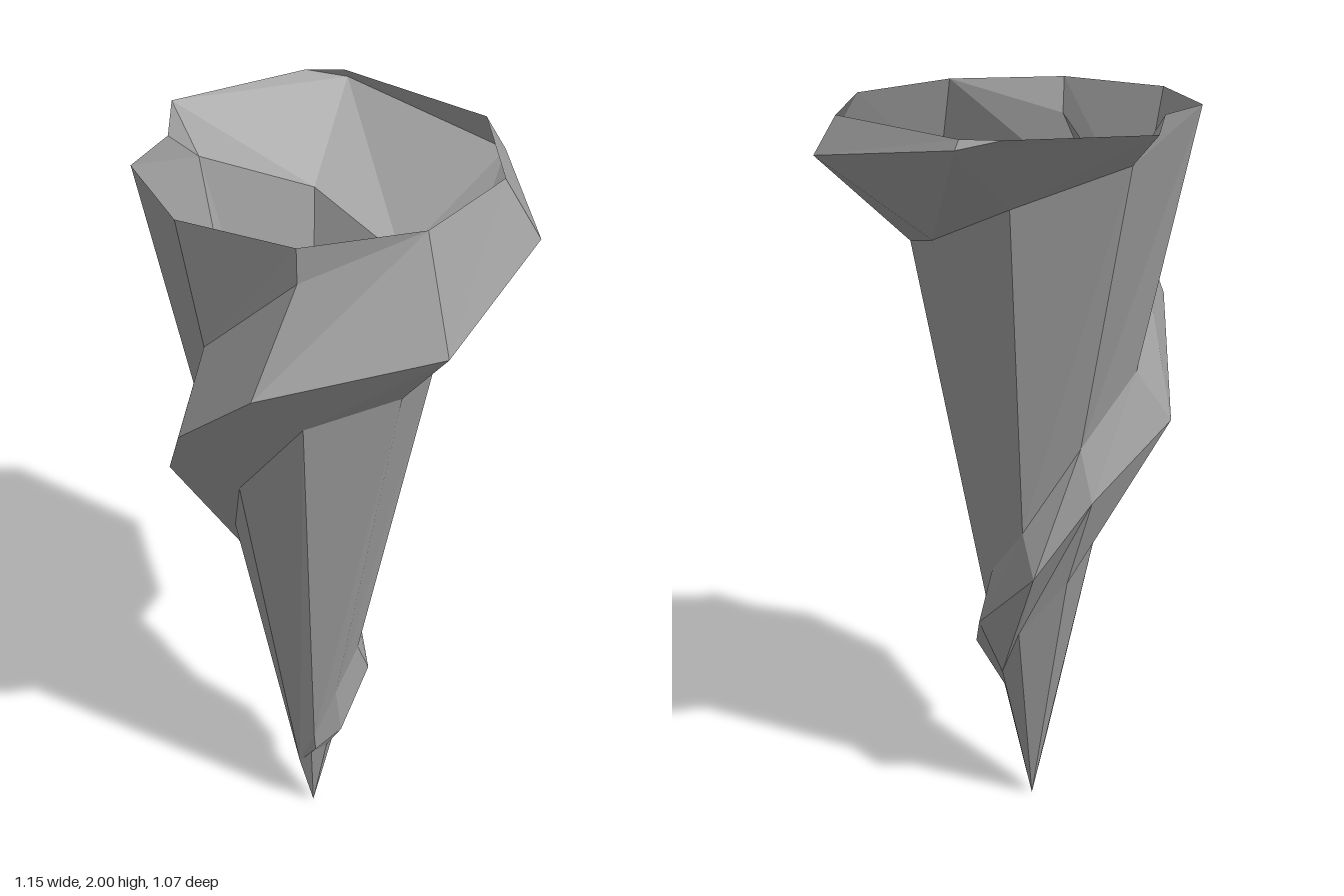
import * as THREE from 'three';

// Spiral stations, eight per turn, climbing from the tip.
// lower = crease under the ridge, ridge = outer edge, upper = crease above it
const lower = [
  [0.02, 0.17, 0.14], [0.06, 0.22, 0.13], [0.08, 0.24, 0.09], [0.075, 0.34, 0.03],
  [0.02, 0.40, -0.01], [-0.065, 0.54, -0.01], [-0.16, 0.70, 0.085], [-0.13, 0.95, 0.235],
  [0.02, 1.18, 0.335], [0.25, 1.45, 0.31], [0.37, 1.51, 0.09], [0.28, 1.60, -0.14],
  [0.01, 1.66, -0.23], [-0.27, 1.78, -0.17], [-0.43, 1.89, 0.09], [-0.30, 2, 0.40],
  [0.015, 2, 0.505], [0.32, 2, 0.385], [0.45, 2, 0.09],
];
const ridge = [
  [0.02, 0.17, 0.14], [0.085, 0.25, 0.135], [0.12, 0.31, 0.07], [0.11, 0.47, -0.04],
  [0.03, 0.56, -0.08], [-0.2, 0.75, -0.05], [-0.255, 0.955, 0.1], [-0.235, 1.14, 0.37],
  [0.035, 1.42, 0.535], [0.29, 1.62, 0.505], [0.575, 1.72, 0.13], [0.415, 1.83, -0.33],
  [0.075, 1.90, -0.535], [-0.43, 1.975, -0.425], [-0.58, 1.99, 0.06], [-0.385, 2, 0.22],
];
const upper = [
  [0.02, 0.17, 0.14], [0.085, 0.30, 0.14], [0.12, 0.45, 0.09], [0.11, 0.56, 0],
  [0, 0.72, -0.055], [-0.13, 0.86, -0.04], [-0.22, 1.10, 0.085], [-0.19, 1.28, 0.285],
  [0.015, 1.63, 0.43], [0.31, 1.90, 0.375], [0.45, 2, 0.09], [0.36, 2, -0.25],
  [0.055, 2, -0.48], [-0.425, 2, -0.41], [-0.495, 2, -0.33],
];
const tip = [0.02, 0, 0.09];

// Faceted band between two rows of points, first row below the second
function band(a, b) {
  const tris = [];
  for (let i = 0; i < a.length - 1; i++) {
    tris.push([a[i], a[i + 1], b[i + 1]], [a[i], b[i + 1], b[i]]);
  }
  return tris;
}

export function createModel() {
  const group = new THREE.Group();
  const stone = new THREE.MeshStandardMaterial({
    color: 0xa0a0a0, side: THREE.DoubleSide, flatShading: true,
  });
  stone.name = 'grey stone';

  function add(name, tris) {
    // Drop triangles whose corners coincide
    const solid = tris.filter(([p, q, r]) => {
      const [a, b, c] = [p, q, r].map((v) => new THREE.Vector3(...v));
      return b.sub(a).cross(c.sub(a)).length() > 1e-7;
    });
    const geometry = new THREE.BufferGeometry();
    geometry.setAttribute('position', new THREE.Float32BufferAttribute(solid.flat(2), 3));
    geometry.computeVertexNormals();
    const mesh = new THREE.Mesh(geometry, stone);
    mesh.name = name;
    group.add(mesh);
  }

  // Pointed foot, closed where the spiral meets its first turn
  const foot = lower.slice(0, 8);
  add('tip', [
    ...band(foot.map(() => tip), foot),
    [tip, lower[7], lower[0]],
    [lower[0], lower[7], lower[8]],
  ]);

  // Winding ridge: overhanging underside and sloping top
  add('ridgeUnderside', band(lower.slice(0, 16), ridge));
  add('ridgeTop', band(ridge.slice(0, 15), upper));

  // Conical wall from each turn's upper crease to the next turn's lower crease
  add('spiralWall', band(upper.slice(0, 11), lower.slice(8, 19)));

  return group;
}
